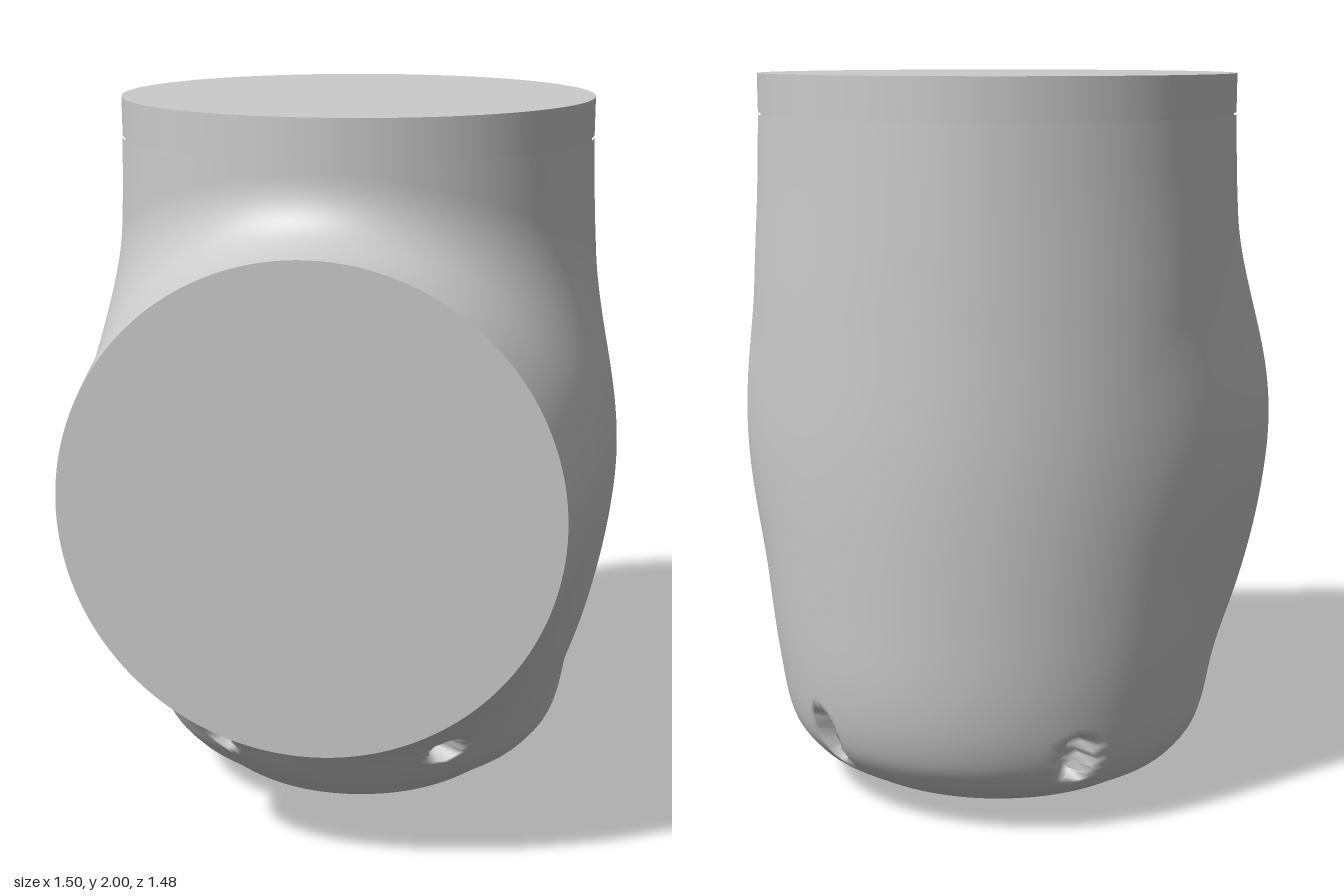
import * as THREE from 'three';

const { smoothstep } = THREE.MathUtils;
const FLANGE = { y: 1.02, z: 0.74, r: 0.655 };
const COLLAR = { y: 1.89, z: -0.07, r: 0.655 };
const CENTRE = new THREE.Vector3(0, 1, 0);

// Upright shell sections: height, half width, front z, back z
const SECTIONS = [
  [0, 0.25, 0.15, -0.05], [0.02, 0.33, 0.24, -0.33], [0.04, 0.39, 0.29, -0.45],
  [0.09, 0.475, 0.35, -0.555], [0.12, 0.525, 0.385, -0.6], [0.2, 0.585, 0.45, -0.66],
  [0.35, 0.62, 0.52, -0.7], [0.6, 0.655, 0.56, -0.72], [1.0, 0.69, 0.6, -0.737],
  [1.4, 0.68, 0.59, -0.733], [1.7, 0.662, 0.585, -0.728], [1.89, 0.655, 0.585, -0.725],
];

// Smooth interpolation of one section column
function sectionAt(y, col) {
  const S = SECTIONS, n = S.length - 1;
  if (y <= 0) return S[0][col];
  if (y >= S[n][0]) return S[n][col];
  let i = 0;
  while (y > S[i + 1][0]) i++;
  const slope = (k) => {
    const a = S[Math.max(k - 1, 0)], b = S[Math.min(k + 1, n)];
    return (b[col] - a[col]) / (b[0] - a[0]);
  };
  const h = S[i + 1][0] - S[i][0], t = (y - S[i][0]) / h, t2 = t * t, t3 = t2 * t;
  return (2 * t3 - 3 * t2 + 1) * S[i][col] + (t3 - 2 * t2 + t) * h * slope(i)
    + (3 * t2 - 2 * t3) * S[i + 1][col] + (t3 - t2) * h * slope(i + 1);
}

// Upright shell: an oval at every height, flat underneath
function upright(p) {
  const rx = sectionAt(p.y, 1), front = sectionAt(p.y, 2), back = sectionAt(p.y, 3);
  const rz = (front - back) / 2, zc = (front + back) / 2;
  return Math.max((Math.hypot(p.x / rx, (p.z - zc) / rz) - 1) * rx, -p.y);
}

// Forward branch: tapers to the flange, ends in a dome inside the shell
function branch(p) {
  const u = p.z - 0.1, y = p.y - FLANGE.y;
  if (u < 0) return Math.hypot(p.x, y, u * 1.13) - 0.735;
  return Math.hypot(p.x, y) - 0.735 + 0.08 * Math.pow(u / 0.64, 1.5);
}

// Blended union of both, with a fuller blend at the lower front corners
function field(p) {
  const a = upright(p), b = branch(p);
  const corner = smoothstep(Math.abs(p.x), 0.1, 0.45) * smoothstep(p.z, -0.2, 0.25)
    * (1 - smoothstep(p.y, 0.45, 0.95));
  const k = 0.16 + 0.14 * corner;
  const h = Math.max(k - Math.abs(a - b), 0);
  return Math.min(a, b) - h * h / (4 * k);
}

// Distance from the centre to the surface along a direction
function reach(dir) {
  const p = new THREE.Vector3();
  let lo = 0.2, hi = 1.6;
  for (let i = 0; i < 28; i++) {
    const mid = (lo + hi) / 2;
    p.copy(CENTRE).addScaledVector(dir, mid);
    if (field(p) < 0) lo = mid; else hi = mid;
  }
  return lo;
}

// Four small drain slots, sunk horizontally into the lower shell
const SLOTS = [];
for (const side of [-1, 1]) {
  for (const [x, y, z, high] of [[0.34, 0.26, 0.44, 0.05], [0.37, 0.22, -0.59, 0.075]]) {
    const centre = new THREE.Vector3(side * x, y, z);
    const out = new THREE.Vector3(side * x, 0, z - COLLAR.z).normalize();
    SLOTS.push({ centre, out, high });
  }
}
function sinkSlots(p) {
  for (const { centre, out, high } of SLOTS) {
    const q = p.clone().sub(centre);
    if (q.dot(out) < -0.2) continue;
    const d = Math.hypot((q.x * out.z - q.z * out.x) / 0.045, q.y / high);
    p.addScaledVector(out, -0.07 * (1 - smoothstep(d, 0.75, 1)));
  }
}

function slerp(a, b, t) {
  const w = a.angleTo(b);
  if (w < 1e-5) return a.clone();
  return a.clone().multiplyScalar(Math.sin((1 - t) * w) / Math.sin(w))
    .addScaledVector(b, Math.sin(t * w) / Math.sin(w));
}

// Shell lofted from the flange rim, round the elbow, to the collar rim
function shellGeometry(around = 300, along = 180) {
  const pos = [], index = [];
  for (let j = 0; j <= along; j++) {
    for (let i = 0; i < around; i++) {
      const a = (i / around) * Math.PI * 2, s = Math.sin(a), c = Math.cos(a);
      const rimA = new THREE.Vector3(s * FLANGE.r, FLANGE.y + c * FLANGE.r, FLANGE.z);
      const rimB = new THREE.Vector3(s * COLLAR.r, COLLAR.y, COLLAR.z + c * COLLAR.r);
      let p;
      if (j === 0) p = rimA;
      else if (j === along) p = rimB;
      else {
        const mid = new THREE.Vector3(s, c * Math.SQRT1_2, c * Math.SQRT1_2);
        const t = (j / along) * 2;
        const dir = t < 1
          ? slerp(rimA.sub(CENTRE).normalize(), mid, t)
          : slerp(mid, rimB.sub(CENTRE).normalize(), t - 1);
        p = CENTRE.clone().addScaledVector(dir, reach(dir));
        sinkSlots(p);
        p.z = Math.min(p.z, FLANGE.z);
        p.y = Math.min(p.y, COLLAR.y);
      }
      pos.push(p.x, p.y, p.z);
      if (j < along) {
        const n = (i + 1) % around, k = j * around;
        index.push(k + i, k + n, k + around + i, k + n, k + around + n, k + around + i);
      }
    }
  }
  const g = new THREE.BufferGeometry();
  g.setAttribute('position', new THREE.Float32BufferAttribute(pos, 3));
  g.setIndex(index);
  g.computeVertexNormals();
  return g;
}

export function createModel() {
  const group = new THREE.Group();
  const grey = new THREE.MeshStandardMaterial({ color: 0xcccccc });
  const add = (name, geometry, x, y, z) => {
    const mesh = new THREE.Mesh(geometry, grey);
    mesh.name = name;
    mesh.position.set(x, y, z);
    group.add(mesh);
  };

  add('shell', shellGeometry(), 0, 0, 0);
  add('frontFace', new THREE.CircleGeometry(FLANGE.r, 300), 0, FLANGE.y, FLANGE.z);

  // Top collar above a fine seam
  add('collarSeam', new THREE.CylinderGeometry(0.648, 0.648, 0.02, 96), 0, 1.89, COLLAR.z);
  add('topCollar', new THREE.CylinderGeometry(COLLAR.r, COLLAR.r, 0.104, 96), 0, 1.948, COLLAR.z);
  return group;
}
